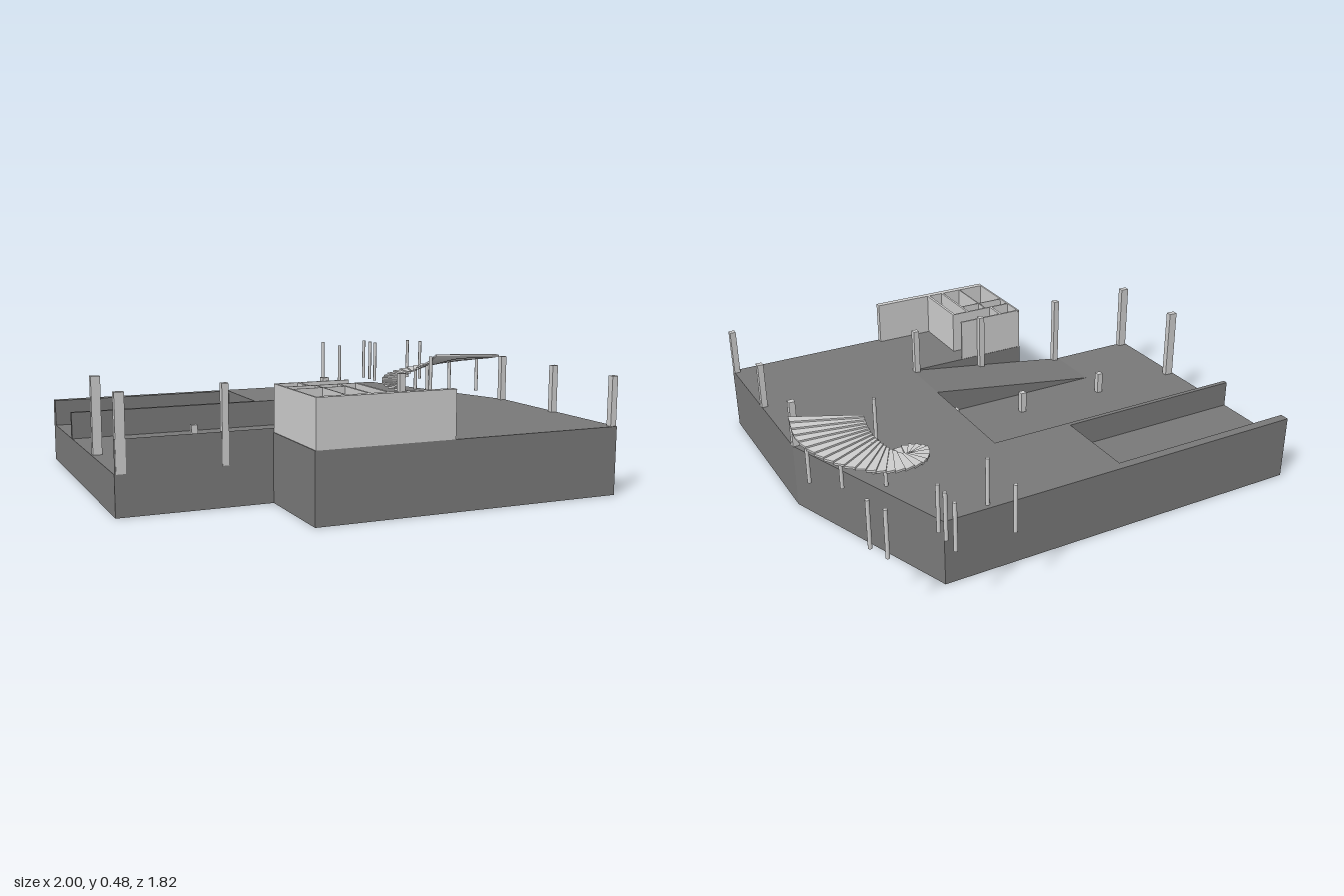
import * as THREE from 'three';

const FLOOR = 0.165, DECK = 0.28, TOP = 0.482;

export function createModel() {
  const root = new THREE.Group();
  root.name = 'buildingLevel';
  const mat = (name, color) => {
    const m = new THREE.MeshStandardMaterial({ color });
    m.name = name;
    return m;
  };
  const concrete = mat('darkConcrete', 0x787878);
  const plaster = mat('lightPlaster', 0xcccccc);

  const add = (parent, name, geo, material) => {
    const mesh = new THREE.Mesh(geo, material);
    mesh.name = name;
    parent.add(mesh);
    return mesh;
  };
  const group = (name) => {
    const g = new THREE.Group();
    g.name = name;
    root.add(g);
    return g;
  };
  // Prism over a plan outline of [x, z] points
  const prism = (plan, y0, y1) => {
    const shape = new THREE.Shape(plan.map(([x, z]) => new THREE.Vector2(x, -z)));
    return new THREE.ExtrudeGeometry(shape, { depth: y1 - y0, bevelEnabled: false })
      .rotateX(-Math.PI / 2).translate(0, y0, 0);
  };
  // Box given by its limits
  const block = (x0, x1, y0, y1, z0, z1) =>
    new THREE.BoxGeometry(x1 - x0, y1 - y0, z1 - z0)
      .translate((x0 + x1) / 2, (y0 + y1) / 2, (z0 + z1) / 2);

  // Base up to the sunken floor, then the deck around the two open recesses
  const plinth = group('plinth');
  add(plinth, 'base', prism([
    [-1, -0.72], [0.645, -0.72], [0.935, 0.085], [0.935, 0.91],
    [-0.375, 0.91], [-0.375, 0.5], [-1, 0.5],
  ], 0, FLOOR), concrete);
  add(plinth, 'deck', prism([
    [-1, -0.72], [0.645, -0.72], [0.935, 0.085], [0.935, 0.91],
    [-0.375, 0.91], [-0.375, 0.5], [0.2, 0.5], [0.2, -0.295],
    [-1, -0.295], [-1, -0.315], [-0.155, -0.315], [-0.155, -0.68], [-1, -0.68],
  ], FLOOR, DECK), concrete);

  // Ramp from the sunken floor up to the deck
  const wedge = new THREE.Shape([
    new THREE.Vector2(-0.6, FLOOR), new THREE.Vector2(0.2, FLOOR), new THREE.Vector2(0.2, DECK),
  ]);
  add(plinth, 'ramp', new THREE.ExtrudeGeometry(wedge, { depth: 0.26, bevelEnabled: false })
    .translate(0, 0, 0.24), concrete);

  // Outward-facing sheet closing the front of the recess
  add(plinth, 'frontFacing', new THREE.PlaneGeometry(1.2, 0.297)
    .translate(-0.4, 0.1485, 0.501), concrete);

  // Square columns: x, z, bottom, top
  const columns = group('columns');
  [
    [-0.975, 0.09, FLOOR, TOP], [-0.975, 0.49, FLOOR, 0.47],
    [-0.57, 0.09, FLOOR, 0.26], [-0.57, 0.49, FLOOR, TOP],
    [-0.155, 0.09, FLOOR, 0.26], [-0.155, 0.49, 0.2, TOP],
    [0.185, 0.09, FLOOR, 0.26], [0.185, 0.49, 0.25, TOP],
    [0.923, 0.09, DECK, TOP], [0.923, 0.49, DECK, TOP], [0.923, 0.89, DECK, TOP],
  ].forEach(([x, z, y0, y1]) => {
    const w = x < -0.9 ? 0.019 : 0.013;
    add(columns, 'column', block(x - w, x + w, y0, y1, z - 0.013, z + 0.013), plaster);
  });

  // Partitioned rooms: x0, x1, z0, z1 of each wall
  const rooms = group('rooms');
  [
    [-0.372, 0.197, 0.882, 0.91],
    [-0.372, -0.364, 0.5, 0.89],
    [-0.372, -0.06, 0.502, 0.51],
    [-0.278, -0.266, 0.502, 0.61],
    [-0.372, -0.066, 0.603, 0.61],
    [-0.153, -0.143, 0.605, 0.89],
    [-0.078, -0.066, 0.605, 0.89],
    [-0.246, -0.241, 0.605, 0.89],
    [-0.372, -0.148, 0.674, 0.679],
  ].forEach(([x0, x1, z0, z1]) =>
    add(rooms, 'roomWall', block(x0, x1, DECK, 0.47, z0, z1), plaster));

  // Slender round poles
  const poles = group('poles');
  const pole = (x, z, top) => add(poles, 'pole',
    new THREE.CylinderGeometry(0.008, 0.008, top - DECK, 12)
      .translate(x, (top + DECK) / 2, z), plaster);
  [
    [0.45, -0.905], [0.69, -0.905], [0.69, -0.83], [0.69, -0.77],
    [0.915, -0.83], [0.945, -0.745], [0.45, -0.695], [0.62, -0.045],
  ].forEach(([x, z]) => pole(x, z, 0.48));
  // Poles carrying the stair
  [[0.725, -0.385, 0.39], [0.88, -0.32, 0.42], [0.975, -0.22, 0.445], [0.73, -0.275, 0.42]]
    .forEach(([x, z, top]) => pole(x, z, top));

  // Winding stair: treads fan between an outer and an inner curve
  const stair = group('windingStair');
  const curve = (pts) => new THREE.CatmullRomCurve3(pts.map(([x, z]) => new THREE.Vector3(x, 0, z)));
  const outer = curve([
    [0.975, -0.02], [0.997, -0.17], [0.945, -0.32], [0.84, -0.425], [0.715, -0.46],
    [0.57, -0.41], [0.492, -0.27], [0.55, -0.175], [0.68, -0.19],
  ]);
  const inner = curve([
    [0.71, -0.15], [0.715, -0.2], [0.71, -0.24], [0.69, -0.28], [0.66, -0.31],
    [0.61, -0.322], [0.57, -0.285], [0.575, -0.24], [0.615, -0.225],
  ]);
  const COUNT = 28;
  for (let i = 0; i < COUNT; i++) {
    const [a, b] = [i / COUNT, (i + 1) / COUNT];
    const plan = [outer.getPoint(a), outer.getPoint(b), inner.getPoint(b), inner.getPoint(a)]
      .map((p) => [p.x, p.z]);
    const y = 0.475 - 0.187 * (i / (COUNT - 1));
    add(stair, 'tread', prism(plan, y - 0.009, y), plaster);
  }
  return root;
}
